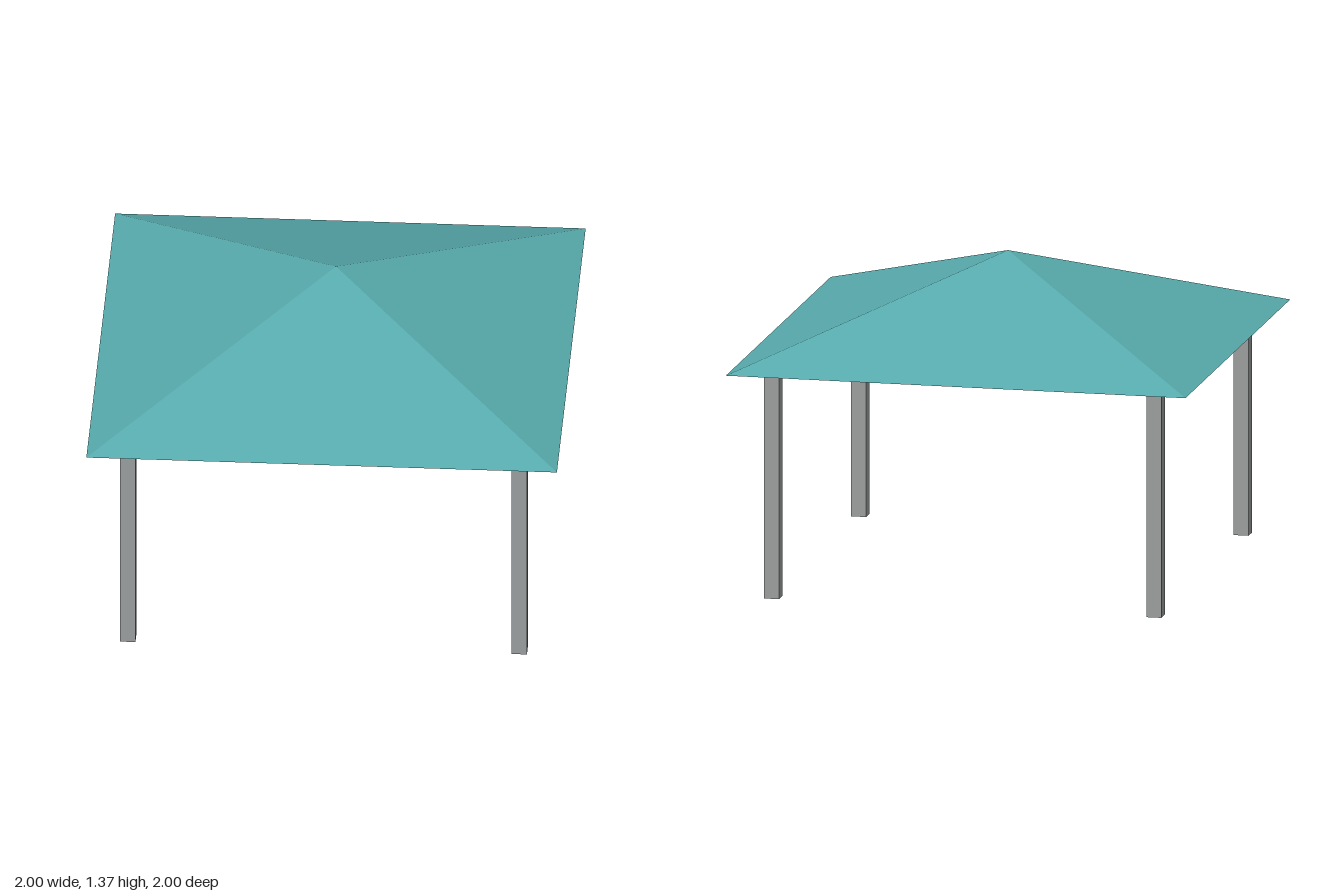
import * as THREE from 'three';

const EAVE_Y = 0.99, PEAK_Y = 1.37;
const POST_HEIGHT = 0.97, POST_WIDTH = 0.065, POST_OFFSET = 0.832;

export function createModel() {
  const group = new THREE.Group();
  group.name = 'pavilion';

  const teal = new THREE.MeshStandardMaterial({ color: 0x57aaac, flatShading: true, side: THREE.DoubleSide });
  teal.name = 'teal roof';
  const grey = new THREE.MeshStandardMaterial({ color: 0x9a9e9d, flatShading: true });
  grey.name = 'grey post';

  // Open four-sided canopy, turned so its corners lie on the diagonals
  const roofGeometry = new THREE.ConeGeometry(Math.SQRT2, PEAK_Y - EAVE_Y, 4, 1, true);
  roofGeometry.rotateY(Math.PI / 4);
  const roof = new THREE.Mesh(roofGeometry, teal);
  roof.name = 'roof';
  roof.position.y = (EAVE_Y + PEAK_Y) / 2;
  group.add(roof);

  // Four square posts, ending just under the eaves
  const postGeometry = new THREE.BoxGeometry(POST_WIDTH, POST_HEIGHT, POST_WIDTH);
  for (const [sx, side] of [[1, 'Left'], [-1, 'Right']]) {
    for (const [sz, end] of [[1, 'front'], [-1, 'back']]) {
      const post = new THREE.Mesh(postGeometry, grey);
      post.name = `${end}${side}Post`;
      post.position.set(sx * POST_OFFSET, POST_HEIGHT / 2, sz * POST_OFFSET);
      group.add(post);
    }
  }

  return group;
}
